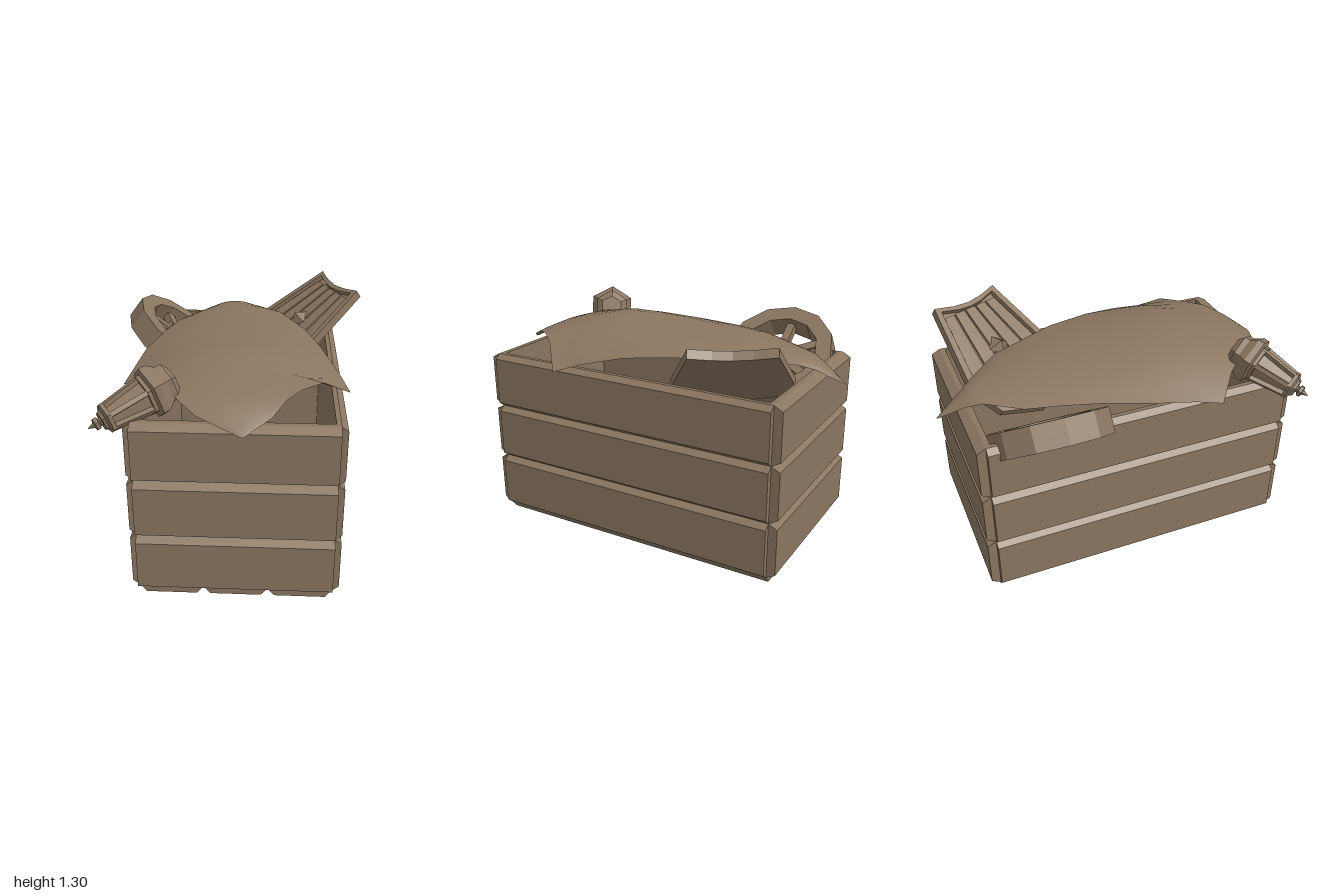
import * as THREE from 'three';

const wood = new THREE.MeshStandardMaterial({ color: 0x8a7660, side: THREE.DoubleSide });
wood.name = 'weathered brown';

function mesh(name, geometry, parent) {
  const m = new THREE.Mesh(geometry, wood);
  m.name = name;
  parent.add(m);
  return m;
}

function group(name, parent) {
  const g = new THREE.Group();
  g.name = name;
  parent.add(g);
  return g;
}

// Facet a smooth geometry
function flat(geometry) {
  const g = geometry.index ? geometry.toNonIndexed() : geometry;
  g.computeVertexNormals();
  return g;
}

const lathe = (pts, sides) =>
  flat(new THREE.LatheGeometry(pts.map(([r, y]) => new THREE.Vector2(r, y)), sides));
const outline = (pts, Type = THREE.Shape) => new Type(pts.map(([x, y]) => new THREE.Vector2(x, y)));

// Plank along z, outer face towards +x, long outer edges chamfered
function plank(length, half, thick, bevelX, bevelY) {
  const shape = outline([
    [0, -half], [thick - bevelX, -half], [thick, -half + bevelY],
    [thick, half - bevelY], [thick - bevelX, half], [0, half],
  ]);
  return new THREE.ExtrudeGeometry(shape, { depth: length, bevelEnabled: false })
    .translate(0, 0, -length / 2);
}

function addCrate(parent) {
  const crate = group('crate', parent);
  crate.position.set(0.02, 0, 0.03);
  const side = plank(1.74, 0.1625, 0.06, 0.035, 0.027);
  const end = plank(1.03, 0.1625, 0.08, 0.05, 0.027);
  const floor = plank(1.74, 0.1717, 0.05, 0.045, 0.035);
  for (let i = 0; i < 3; i++) {
    const y = 0.2075 + i * 0.325;
    for (const s of [1, -1]) {
      const a = mesh('sideSlat', side, crate);
      a.position.set(s * 0.49, y, 0);
      a.rotation.y = s > 0 ? 0 : Math.PI;
      const b = mesh('endSlat', end, crate);
      b.position.set(0, y, s * 0.84);
      b.rotation.y = -s * Math.PI / 2;
    }
    const f = mesh('floorPlank', floor, crate);
    f.position.set((i - 1) * 0.343, 0.05, 0);
    f.rotation.z = -Math.PI / 2;
  }
}

// Draped sheet: each row is z, left x, left y, right x, right y, middle y
function addCloth(parent) {
  const rows = [
    [-1.0, -0.085, 0.97, -0.075, 0.97, 0.97],
    [-0.85, -0.155, 1.05, 0.0, 1.05, 1.07],
    [-0.77, -0.2, 1.08, 0.06, 1.08, 1.11],
    [-0.58, -0.33, 1.08, 0.23, 1.1, 1.145],
    [-0.4, -0.4, 1.1, 0.3, 1.11, 1.165],
    [-0.2, -0.46, 1.1, 0.38, 1.12, 1.175],
    [0.07, -0.54, 1.08, 0.47, 1.1, 1.19],
    [0.3, -0.575, 1.05, 0.555, 1.05, 1.208],
    [0.45, -0.605, 1.02, 0.61, 1.0, 1.21],
    [0.58, -0.45, 1.1, 0.46, 1.11, 1.18],
    [0.7, -0.35, 1.12, 0.345, 1.12, 1.15],
    [0.8, -0.27, 1.1, 0.27, 1.11, 1.12],
    [0.9, -0.17, 1.06, 0.2, 1.06, 1.075],
    [1.0, 0.055, 1.0, 0.065, 1.0, 1.0],
  ];
  const n = 10, pos = [], index = [];
  rows.forEach(([z, xl, yl, xr, yr, ym], r) => {
    for (let c = 0; c <= n; c++) {
      const s = (c / n) * 2 - 1;
      pos.push(xl + (xr - xl) * c / n, ym + ((s < 0 ? yl : yr) - ym) * s * s, z);
      if (r < rows.length - 1 && c < n) {
        const a = r * (n + 1) + c, b = a + n + 1;
        index.push(a, b, a + 1, a + 1, b, b + 1);
      }
    }
  });
  const g = new THREE.BufferGeometry();
  g.setAttribute('position', new THREE.Float32BufferAttribute(pos, 3));
  g.setIndex(index);
  g.computeVertexNormals();
  mesh('cloth', g, parent);
}

// Spoked wheel leaning over the side wall
function addWheel(parent) {
  const wheel = group('wheel', parent);
  wheel.position.set(-0.42, 0.955, -0.47);
  wheel.quaternion.setFromUnitVectors(new THREE.Vector3(0, 1, 0), new THREE.Vector3(0.6, 0.8, 0));
  mesh('rim', lathe([[0.24, -0.07], [0.335, -0.07], [0.335, 0.07], [0.24, 0.07], [0.24, -0.07]], 12), wheel);
  mesh('hub', flat(new THREE.CylinderGeometry(0.07, 0.07, 0.13, 8)), wheel);
  const spoke = new THREE.BoxGeometry(0.22, 0.05, 0.05).translate(0.15, 0, 0);
  for (let i = 0; i < 6; i++) mesh('spoke', spoke, wheel).rotation.y = i * Math.PI / 3;
}

// Six-sided lantern, built upwards from its finial tip
function addLantern(parent) {
  const lantern = group('lantern', parent);
  lantern.position.set(-0.69, 0.995, 0.935);
  const axis = new THREE.Vector3(0.41, 0.165, -0.28).normalize();
  lantern.quaternion.setFromUnitVectors(new THREE.Vector3(0, 1, 0), axis);
  mesh('finial', lathe([[0, 0], [0.016, 0.035], [0.034, 0.04], [0.034, 0.058], [0.018, 0.065], [0.03, 0.08]], 6), lantern);
  mesh('cap', lathe([[0, 0.075], [0.05, 0.075], [0.06, 0.09], [0.085, 0.1], [0.085, 0.12], [0, 0.12]], 6), lantern);
  mesh('panes', lathe([[0.062, 0.12], [0.092, 0.33]], 6), lantern);
  mesh('base', lathe([[0, 0.32], [0.115, 0.32], [0.115, 0.34], [0.145, 0.35], [0.145, 0.385],
    [0.11, 0.43], [0.11, 0.46], [0.07, 0.49], [0, 0.49]], 6), lantern);
  for (let i = 0; i < 6; i++) {
    const post = group('postPivot', lantern);
    post.rotation.y = i * Math.PI / 3;
    const bar = mesh('post', new THREE.BoxGeometry(0.025, 0.215, 0.025), post);
    bar.position.set(0, 0.225, 0.082);
    bar.rotation.x = 0.14;
  }
}

// Planked shield sticking out of the back corner
function addShield(parent) {
  const shield = group('shield', parent);
  const down = new THREE.Vector3(-0.744, -0.572, 0.344).normalize();
  const across = new THREE.Vector3(0.44, -0.03, 0.89);
  across.addScaledVector(down, -across.dot(down)).normalize();
  const up = down.clone().negate();
  shield.quaternion.setFromRotationMatrix(
    new THREE.Matrix4().makeBasis(across, up, across.clone().cross(up)));
  shield.position.set(0.615, 1.275, -0.65);

  const edge = [[-0.22, 0], [-0.1, -0.03], [0, -0.04], [0.1, -0.03], [0.22, 0],
    [0.34, -0.53], [0.26, -0.72], [0, -0.82], [-0.26, -0.72], [-0.34, -0.53]];
  const extrude = (shape, depth, z) =>
    new THREE.ExtrudeGeometry(shape, { depth, bevelEnabled: false }).translate(0, 0, z);
  mesh('shieldBack', extrude(outline(edge), 0.02, -0.025), shield);
  const rim = outline(edge);
  rim.holes.push(outline(edge.map(([x, y]) => [x * 0.87, -0.41 + (y + 0.41) * 0.92]), THREE.Path));
  mesh('shieldRim', extrude(rim, 0.03, -0.005), shield);
  // Raised boards fanning out with the taper
  for (let i = -2; i <= 2; i++) {
    const a = (i - 0.43) * 0.2, b = (i + 0.43) * 0.2;
    const board = outline([[a * 0.38, -0.07], [a * 0.58, -0.53], [a * 0.5, -0.7],
      [b * 0.5, -0.7], [b * 0.58, -0.53], [b * 0.38, -0.07]]
      .map(([x, y]) => [x * 1.02, y]));
    mesh('shieldBoard', extrude(board, 0.012, -0.005), shield);
  }
  const boss = mesh('shieldBoss', flat(new THREE.ConeGeometry(0.075, 0.06, 4)), shield);
  boss.position.set(0, -0.355, 0.03);
  boss.rotation.x = Math.PI / 2;
}

export function createModel() {
  const model = new THREE.Group();
  model.name = 'crateOfOddments';
  addCrate(model);
  addCloth(model);
  addWheel(model);
  addLantern(model);
  addShield(model);
  return model;
}
